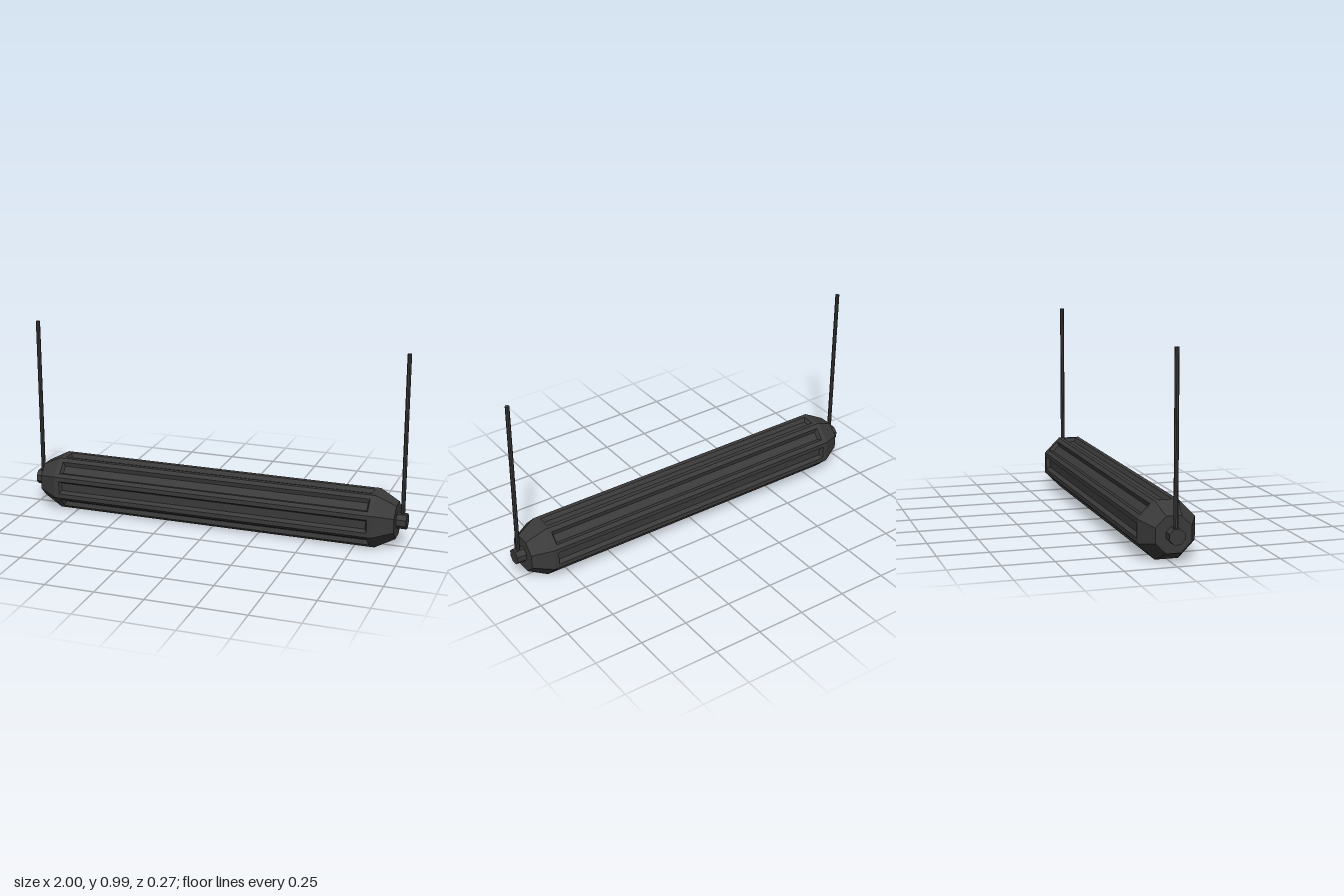
import * as THREE from 'three';
import { mergeGeometries } from 'three/addons/utils/BufferGeometryUtils.js';

const AXIS_Y = 0.137;
const HALF_SIDE = Math.tan(Math.PI / 8);
const circumradius = (apothem) => apothem / Math.cos(Math.PI / 8);

// Four corners of a rectangle at height r, seen from above, counter-clockwise
const ring = (x, r, w) => [[-x, r, w], [x, r, w], [x, r, -w], [-x, r, -w]];

// One eighth of the body: sloped ends, flat border, groove walls and groove floor
function panelGeometry() {
  const rings = [
    ring(0.95, 0.087, 0.087 * HALF_SIDE),
    ring(0.85, AXIS_Y, AXIS_Y * HALF_SIDE),
    ring(0.825, AXIS_Y, 0.034),
    ring(0.815, 0.117, 0.021),
  ];
  const positions = [];
  const quad = (a, b, c, d) => positions.push(...a, ...b, ...c, ...a, ...c, ...d);
  for (let k = 0; k < 3; k++) {
    const [outer, inner] = [rings[k], rings[k + 1]];
    for (let i = 0; i < 4; i++) {
      if (k === 0 && i % 2 === 0) continue; // slopes only at the two ends
      const j = (i + 1) % 4;
      quad(outer[i], outer[j], inner[j], inner[i]);
    }
  }
  quad(...rings[3]);
  const geometry = new THREE.BufferGeometry();
  geometry.setAttribute('position', new THREE.Float32BufferAttribute(positions, 3));
  geometry.computeVertexNormals();
  return geometry;
}

export function createModel() {
  const model = new THREE.Group();
  model.name = 'hangingRoller';
  const material = new THREE.MeshStandardMaterial({ color: 0x3a3a3a, flatShading: true });
  const add = (name, geometry, x, y) => {
    const mesh = new THREE.Mesh(geometry, material);
    mesh.name = name;
    mesh.position.set(x, y, 0);
    model.add(mesh);
  };

  // Eight grooved panels around the x axis
  const panels = [];
  for (let i = 0; i < 8; i++) panels.push(panelGeometry().rotateX(i * Math.PI / 4));
  add('groovedBody', mergeGeometries(panels), 0, AXIS_Y);

  // End faces, axle stubs and hanging rods, mirrored left and right
  for (const [side, s] of [['left', 1], ['right', -1]]) {
    const cap = new THREE.CircleGeometry(circumradius(0.087), 8)
      .rotateZ(Math.PI / 8).rotateY(s * Math.PI / 2);
    add(side + 'EndFace', cap, s * 0.95, AXIS_Y);

    const stub = new THREE.CylinderGeometry(circumradius(0.037), circumradius(0.037), 0.06, 8)
      .rotateY(Math.PI / 8).rotateZ(Math.PI / 2);
    add(side + 'AxleStub', stub, s * 0.97, AXIS_Y);

    const rod = new THREE.CylinderGeometry(circumradius(0.01), circumradius(0.01), 0.825, 8)
      .rotateY(Math.PI / 8);
    add(side + 'HangingRod', rod, s * 0.976, 0.5775);
  }
  return model;
}
